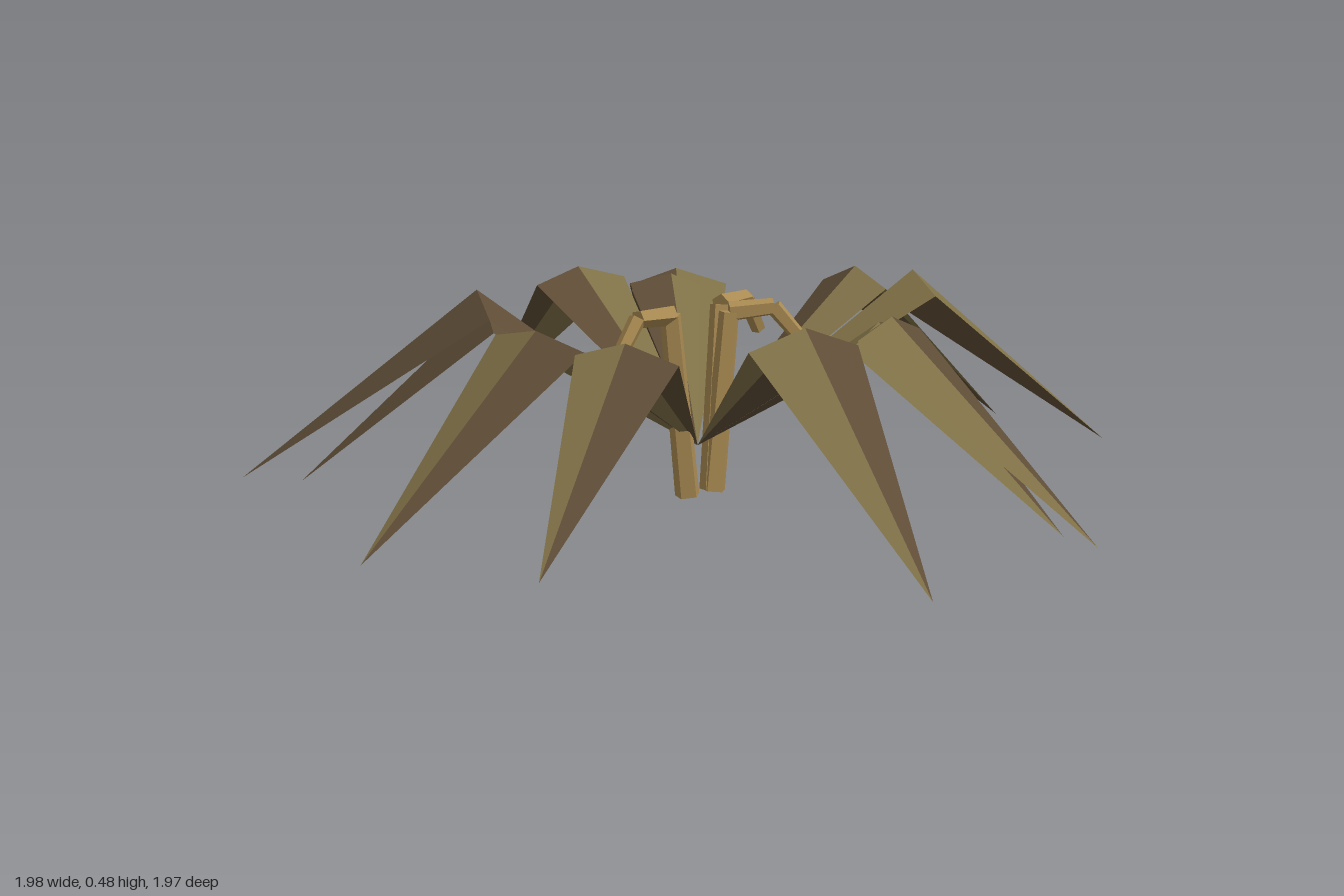
import * as THREE from 'three';

const V = (p) => new THREE.Vector3(...p);

export function createModel() {
  const plant = new THREE.Group();
  plant.name = 'plant';

  const mat = (name, color) => {
    const m = new THREE.MeshStandardMaterial({ color, flatShading: true, side: THREE.DoubleSide });
    m.name = name;
    return m;
  };
  const olive = mat('olive leaf', 0x7f7046);
  const brown = mat('brown leaf', 0x5e4c36);
  const tan = mat('tan stalk', 0xa98a52);

  // All leaves grow from one point
  const root = [-0.045, 0.11, 0.01];

  // One half of a folded leaf: an inner and an outer triangle
  const half = (corner, ridge, tip, material, name) => {
    const g = new THREE.BufferGeometry();
    const pos = [root, corner, ridge, corner, tip, ridge].flat();
    g.setAttribute('position', new THREE.Float32BufferAttribute(pos, 3));
    g.computeVertexNormals();
    const m = new THREE.Mesh(g, material);
    m.name = name;
    return m;
  };

  // Leaf: tip, ridge and the brown and olive edge corners
  const leaf = (tip, ridge, left, right) => {
    const g = new THREE.Group();
    g.name = 'leaf';
    g.add(half(left, ridge, tip, brown, 'leafBrownHalf'));
    g.add(half(ridge, right, tip, olive, 'leafOliveHalf'));
    // the olive half shares the ridge, so rebuild it in its own order
    g.remove(g.children[1]);
    g.add(half(right, ridge, tip, olive, 'leafOliveHalf'));
    return g;
  };

  const leaves = [
    // back
    [[0.115, 0.03, -0.99], [0.035, 0.455, -0.5], [-0.085, 0.42, -0.51], [0.16, 0.42, -0.475]],
    // back left-hand side, with a lower twin
    [[0.53, 0.03, -0.765], [0.255, 0.44, -0.39], [0.165, 0.4, -0.46], [0.35, 0.4, -0.31]],
    [[0.49, 0.03, -0.735], [0.23, 0.43, -0.38], [0.14, 0.41, -0.43], [0.32, 0.38, -0.29]],
    // side
    [[0.99, 0.03, 0.03], [0.48, 0.465, 0.0], [0.48, 0.42, -0.105], [0.48, 0.42, 0.1]],
    [[0.965, 0.03, 0.385], [0.46, 0.48, 0.2], [0.495, 0.4, 0.08], [0.415, 0.435, 0.31]],
    // front, with a lower twin
    [[0.16, 0.03, 0.97], [0.055, 0.455, 0.5], [0.18, 0.41, 0.47], [-0.065, 0.42, 0.515]],
    [[0.178, 0.03, 0.87], [0.07, 0.435, 0.45], [0.19, 0.415, 0.41], [-0.04, 0.39, 0.47]],
    [[-0.355, 0.03, 0.98], [-0.195, 0.46, 0.49], [-0.08, 0.415, 0.53], [-0.32, 0.42, 0.455]],
    // opposite side
    [[-0.81, 0.03, 0.39], [-0.45, 0.425, 0.23], [-0.375, 0.38, 0.31], [-0.52, 0.4, 0.155]],
    [[-0.99, 0.03, 0.06], [-0.525, 0.435, 0.035], [-0.49, 0.4, 0.15], [-0.53, 0.41, -0.095]],
    // back corner, with a lower twin
    [[-0.79, 0.03, -0.71], [-0.4, 0.465, -0.33], [-0.465, 0.42, -0.2], [-0.335, 0.42, -0.445]],
    [[-0.71, 0.03, -0.59], [-0.4, 0.435, -0.3], [-0.455, 0.39, -0.2], [-0.335, 0.39, -0.4]],
  ];
  leaves.forEach((l) => plant.add(leaf(...l)));

  // Tapered straight piece between two points
  const segment = (a, b, r0, r1) => {
    const p = V(a), q = V(b);
    const dir = q.clone().sub(p);
    const m = new THREE.Mesh(new THREE.CylinderGeometry(r1, r0, dir.length(), 5), tan);
    m.position.copy(p).add(q).multiplyScalar(0.5);
    m.quaternion.setFromUnitVectors(new THREE.Vector3(0, 1, 0), dir.normalize());
    m.name = 'stalkSegment';
    return m;
  };

  // Hooked stalks: up, over and down
  const stalks = [
    [[-0.085, 0.003, 0.02], [-0.135, 0.42, 0.02], [-0.24, 0.425, 0.03], [-0.3, 0.34, 0.03]],
    [[-0.01, 0.003, 0.02], [0.045, 0.42, -0.01], [0.15, 0.42, -0.035], [0.205, 0.34, -0.05]],
    [[-0.01, 0.003, 0.025], [0.03, 0.41, 0.035], [0.11, 0.42, 0.095], [0.165, 0.34, 0.135]],
  ];
  const radii = [0.029, 0.024, 0.02, 0.017];
  stalks.forEach((pts) => {
    const g = new THREE.Group();
    g.name = 'stalk';
    for (let i = 0; i < 3; i++) g.add(segment(pts[i], pts[i + 1], radii[i], radii[i + 1]));
    plant.add(g);
  });

  return plant;
}
